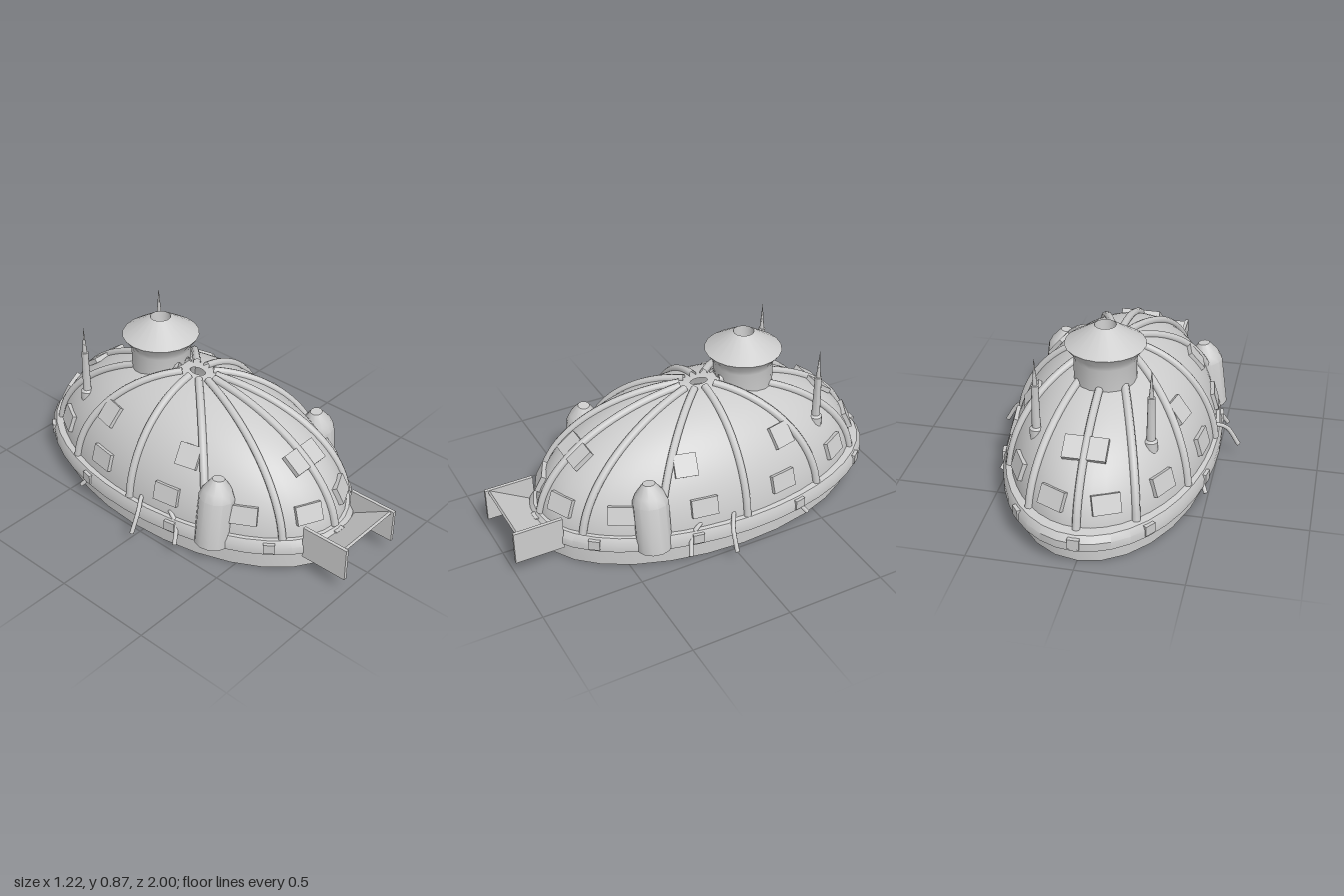
import * as THREE from 'three';
import { toCreasedNormals } from 'three/addons/utils/BufferGeometryUtils.js';

const RX = 0.49, RY = 0.54, RZ = 0.865, CY = 0.12, CZ = -0.07;
const rad = THREE.MathUtils.degToRad;

export function createModel() {
  const model = new THREE.Group();
  const stone = new THREE.MeshStandardMaterial({ color: 0xcccccc, side: THREE.DoubleSide });
  stone.name = 'paleGrey';

  const add = (name, geo, x = 0, y = 0, z = 0) => {
    const mesh = new THREE.Mesh(geo, stone);
    mesh.name = name;
    mesh.position.set(x, y, z);
    model.add(mesh);
    return mesh;
  };
  const turned = (points, segments, sx = 1, sz = 1) => {
    const lathe = new THREE.LatheGeometry(points.map(p => new THREE.Vector2(...p)), segments);
    return toCreasedNormals(lathe.scale(sx, 1, sz), 0.6);
  };
  // Point on the dome: azimuth from the front, elevation, and outward offset
  const onDome = (azimuth, elevation, offset = 0) => {
    const a = rad(azimuth), e = rad(elevation);
    return new THREE.Vector3(
      (RX + offset) * Math.sin(a) * Math.cos(e),
      CY + (RY + offset) * Math.sin(e),
      CZ + (RZ + offset) * Math.cos(a) * Math.cos(e));
  };

  // Oval dome, open below and with a small hole at the crown
  const domeProfile = [[1, 0.1]];
  for (let i = 0; i <= 24; i++) {
    const e = rad(87 * i / 24);
    domeProfile.push([Math.cos(e), CY + RY * Math.sin(e)]);
  }
  add('dome', turned(domeProfile, 48, RX, RZ), 0, 0, CZ);

  // Foundation skirt and projecting rim
  add('skirt', turned([[1, 0], [1, 0.11]], 28, 0.48, 0.865), 0, 0, -0.065);
  add('rim', turned([[0.92, 0.105], [1, 0.105], [1, 0.145], [0.975, 0.175], [0.92, 0.182]], 40, 0.52, 0.915), 0, 0, -0.085);

  // Twelve ribs from crown to rim
  for (let azimuth = 0; azimuth < 360; azimuth += 30) {
    const path = [];
    for (let i = 0; i <= 10; i++) path.push(onDome(azimuth, 83 - 77 * i / 10, 0.006));
    add('rib', new THREE.TubeGeometry(new THREE.CatmullRomCurve3(path), 24, 0.019, 8));
  }

  // Wall plates lying on the dome
  const plate = (azimuth, elevation, width, height) => {
    const p = onDome(azimuth, elevation, 0.004);
    const mesh = add('wallPlate', new THREE.BoxGeometry(width, height, 0.025), p.x, p.y, p.z);
    mesh.lookAt(p.x + p.x / RX ** 2, p.y + (p.y - CY) / RY ** 2, p.z + (p.z - CZ) / RZ ** 2);
  };
  for (let azimuth = 15; azimuth < 360; azimuth += 30) plate(azimuth, 17.5, 0.13, 0.09);
  for (const azimuth of [0, 180]) plate(azimuth, 40, 0.2, 0.11);
  for (const azimuth of [67, 113, 247, 293]) plate(azimuth, 40, 0.11, 0.11);

  // Small blocks around the rim
  for (let azimuth = 0; azimuth < 360; azimuth += 36) {
    const a = rad(azimuth);
    const x = 0.515 * Math.sin(a), z = 0.905 * Math.cos(a);
    const block = add('rimBlock', new THREE.BoxGeometry(0.055, 0.05, 0.025), x, 0.14, z - 0.085);
    block.rotation.y = Math.atan2(x / 0.52 ** 2, z / 0.915 ** 2);
  }

  // Tower with a flared cap, open at the top
  add('tower', turned([[0.148, 0.56], [0.148, 0.71], [0.155, 0.735], [0.19, 0.78], [0.05, 0.872], [0.045, 0.80]], 20), 0, 0, -0.315);

  for (const side of [-1, 1]) {
    // Slender spires at the rear
    add('spire', turned([[0, 0.385], [0.032, 0.385], [0.032, 0.45], [0.021, 0.46], [0.017, 0.66],
      [0.018, 0.675], [0.012, 0.677], [0, 0.82]], 12), side * 0.265, 0, -0.585);

    // Blunt buttress pods at the front, leaning inwards
    const pod = add('pod', turned([[0.086, 0], [0.086, 0.25], [0.07, 0.29], [0.03, 0.345], [0, 0.345]], 12), side * 0.408, 0.105, 0.388);
    pod.rotation.z = side * 0.13;

    // Bent pipes sticking out above and below the rim
    const pipes = [
      [[0.4, 0.2, -0.03], [0.48, 0.205, 0], [0.54, 0.17, 0.035], [0.6, 0.075, 0.045]],
      [[0.4, 0.18, 0.1], [0.46, 0.195, 0.17], [0.475, 0.15, 0.22], [0.52, 0.07, 0.25]],
      [[0.38, 0.18, -0.25], [0.44, 0.19, -0.31], [0.46, 0.15, -0.35], [0.5, 0.075, -0.41]],
    ];
    for (const pts of pipes) {
      const curve = new THREE.CatmullRomCurve3(pts.map(([x, y, z]) => new THREE.Vector3(side * x, y, z)));
      add('pipe', new THREE.TubeGeometry(curve, 16, 0.011, 8));
    }

    // Entrance side walls
    add('entranceWall', new THREE.BoxGeometry(0.017, 0.17, 0.245), side * 0.183, 0.167, 0.8775);
  }

  // Sloping entrance canopy falling back to the rim
  const canopy = add('entranceCanopy', new THREE.BoxGeometry(0.36, 0.014, 0.26), 0, 0.178, 0.87);
  canopy.rotation.x = -0.54;

  return model;
}
